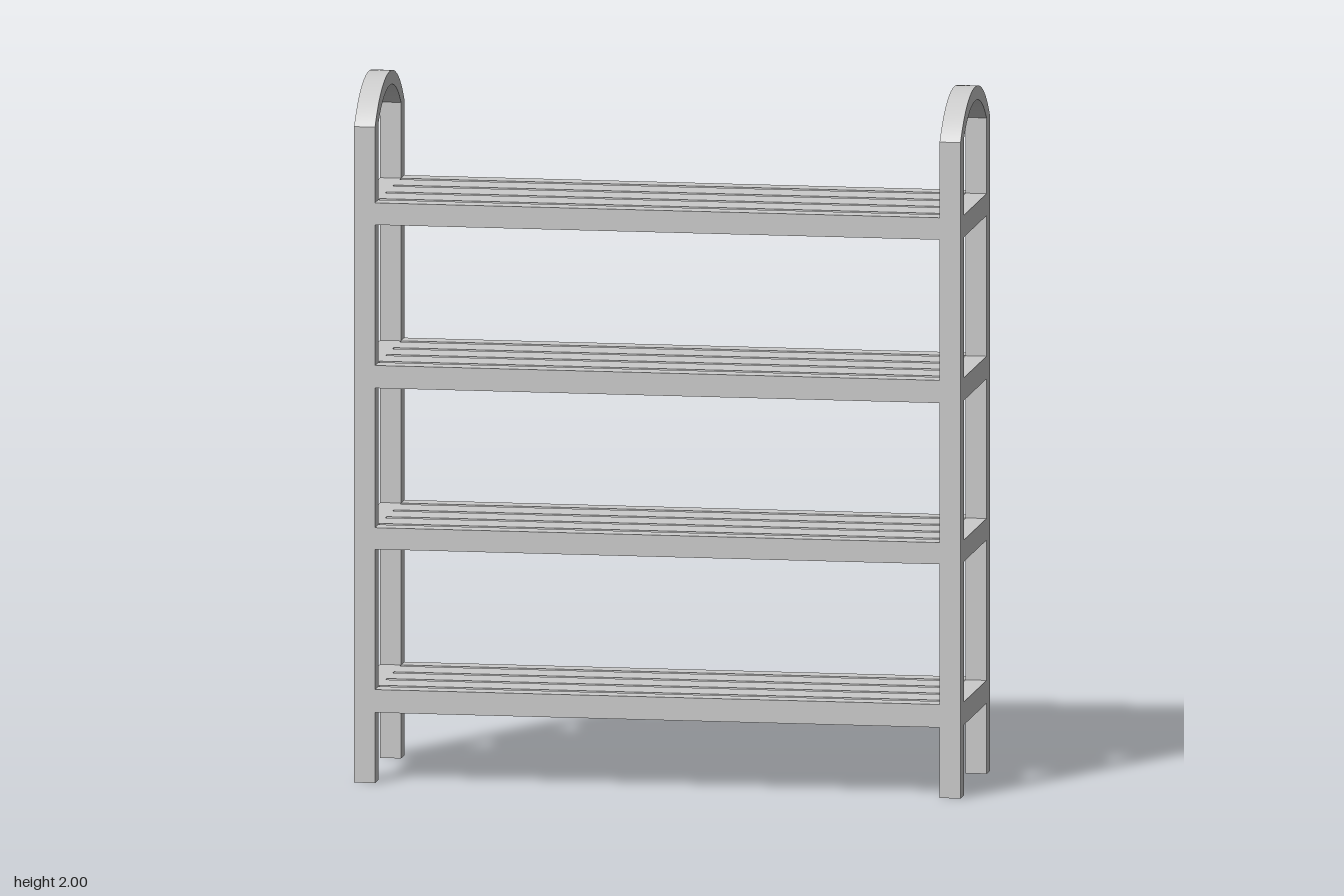
import * as THREE from 'three';
import { toCreasedNormals } from 'three/addons/utils/BufferGeometryUtils.js';

const X_OUT = 0.87, X_IN = 0.81; // end frame thickness
const Z_OUT = 0.252, Z_IN = 0.195; // post depth
const POST_TOP = 1.88;

export function createModel() {
  const model = new THREE.Group();
  model.name = 'shelfRack';
  const material = new THREE.MeshStandardMaterial({ color: 0xcccccc });

  // Box given by its minimum and maximum on each axis
  function bar(parent, name, [x0, x1], [y0, y1], [z0, z1]) {
    const mesh = new THREE.Mesh(new THREE.BoxGeometry(x1 - x0, y1 - y0, z1 - z0), material);
    mesh.position.set((x0 + x1) / 2, (y0 + y1) / 2, (z0 + z1) / 2);
    mesh.name = name;
    parent.add(mesh);
  }

  // Points of an arc of given half width and rise, from -half to +half
  function arc(half, rise, n = 32) {
    const r = (half * half + rise * rise) / (2 * rise);
    const a = Math.asin(half / r);
    return Array.from({ length: n + 1 }, (_, i) => {
      const t = -a + (2 * a * i) / n;
      return new THREE.Vector2(r * Math.sin(t), rise - r + r * Math.cos(t));
    });
  }

  // Curved handle joining the post tops
  const archShape = new THREE.Shape([...arc(Z_OUT, 0.12), ...arc(Z_IN, 0.08).reverse()]);
  const archGeometry = toCreasedNormals(
    new THREE.ExtrudeGeometry(archShape, { depth: X_OUT - X_IN, bevelEnabled: false })
      .translate(0, 0, -(X_OUT - X_IN) / 2)
      .rotateY(Math.PI / 2), 0.5);

  const shelves = [[0.202, 0.268], [0.67, 0.732], [1.132, 1.197], [1.6, 1.663]];

  // End frames: two posts, an arch and a rail per shelf
  for (const side of [1, -1]) {
    const frame = new THREE.Group();
    frame.name = side > 0 ? 'leftFrame' : 'rightFrame';
    const xs = side > 0 ? [X_IN, X_OUT] : [-X_OUT, -X_IN];
    bar(frame, 'frontPost', xs, [0, POST_TOP], [Z_IN, Z_OUT]);
    bar(frame, 'backPost', xs, [0, POST_TOP], [-Z_OUT, -Z_IN]);
    for (const ys of shelves) bar(frame, 'endRail', xs, ys, [-Z_IN, Z_IN]);
    const arch = new THREE.Mesh(archGeometry, material);
    arch.name = 'archHandle';
    arch.position.set(side * (X_IN + X_OUT) / 2, POST_TOP, 0);
    frame.add(arch);
    model.add(frame);
  }

  // Shelves: front and back rails with three slats between them
  shelves.forEach((ys, i) => {
    const shelf = new THREE.Group();
    shelf.name = `shelf${i + 1}`;
    const xs = [-X_IN, X_IN];
    bar(shelf, 'frontRail', xs, ys, [Z_IN, Z_OUT]);
    bar(shelf, 'backRail', xs, ys, [-Z_OUT, -Z_IN]);
    for (const z of [-0.123, 0, 0.123]) bar(shelf, 'slat', xs, ys, [z - 0.051, z + 0.051]);
    model.add(shelf);
  });

  return model;
}
